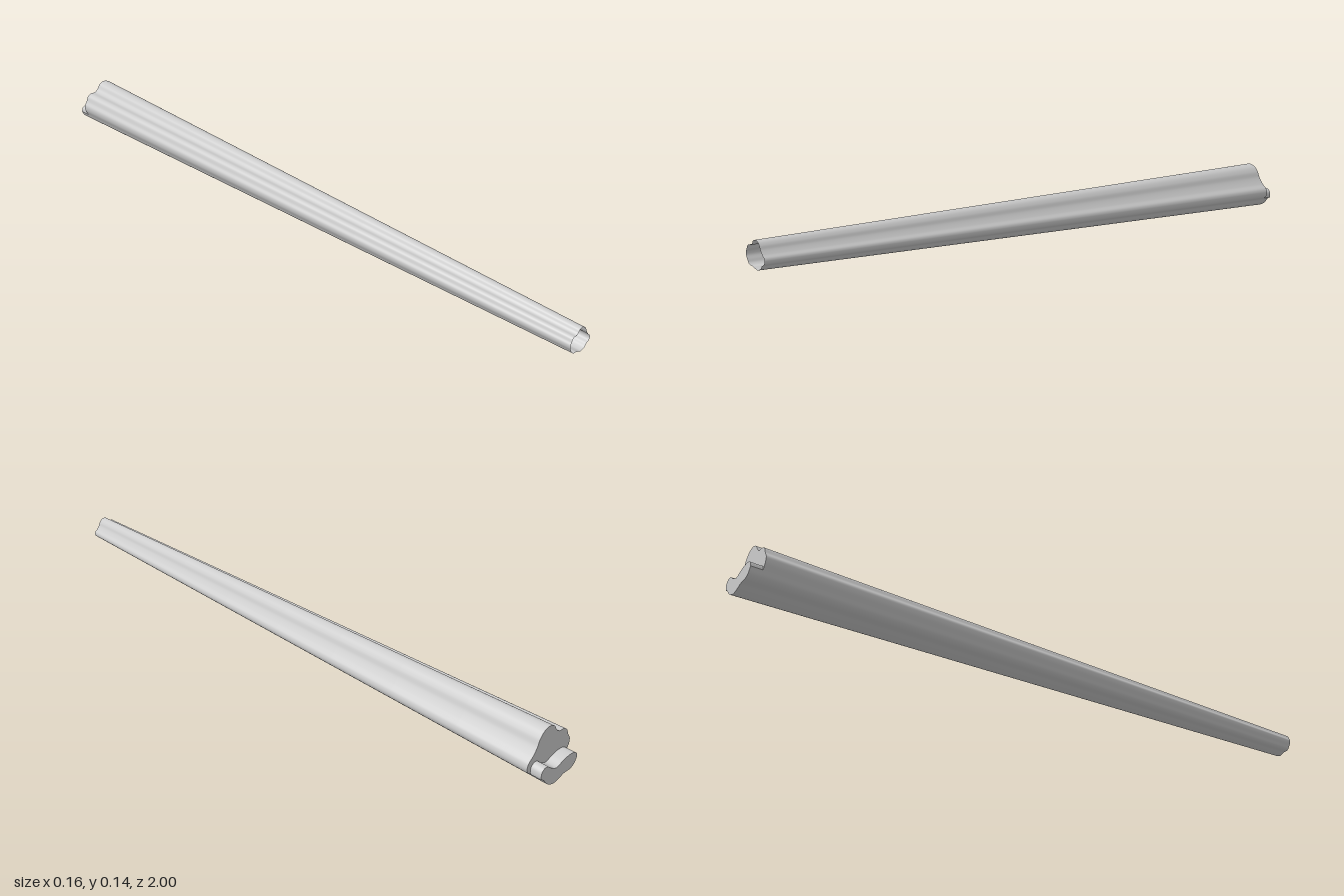
import * as THREE from 'three';

const material = new THREE.MeshStandardMaterial({ color: 0xcccccc, side: THREE.DoubleSide });
const CENTRE_Y = 0.072, FRONT = 1, SHOULDER = -0.965, BACK = -1;

const curve = (pairs, closed) => new THREE.CatmullRomCurve3(
  pairs.map(([x, y]) => new THREE.Vector3(x, y, 0)), closed, 'centripetal');

// Lobed cross-section at the wide end, clockwise from the top
const STEPS = 8;
const section = [
  [0.004, 0.145], [0.025, 0.137], [0.039, 0.121], [0.048, 0.1], [0.0625, 0.079], [0.078, 0.0625],
  [0.081, 0.048], [0.075, 0.035], [0.057, 0.025], [0.043, 0.009], [0.018, 0], [-0.004, 0.006],
  [-0.023, 0.014], [-0.046, 0.017], [-0.061, 0.027], [-0.07, 0.043], [-0.08, 0.0625], [-0.081, 0.079],
  [-0.073, 0.093], [-0.066, 0.109], [-0.055, 0.116], [-0.036, 0.116], [-0.025, 0.123], [-0.014, 0.139],
];
const COUNT = section.length * STEPS;
const outline = curve(section, true).getPoints(COUNT).slice(0, COUNT);

// Where the stepped tongue leaves the outline on either side
const RIGHT = 7.5 * STEPS, LEFT = 15 * STEPS;
const a = outline[RIGHT], b = outline[LEFT];
const stepLine = curve([
  [b.x, b.y], [-0.067, 0.055], [-0.055, 0.061], [-0.035, 0.06], [-0.015, 0.054], [0.01, 0.043],
  [0.03, 0.05], [0.045, 0.06], [0.057, 0.059], [0.066, 0.05], [0.068, 0.038], [a.x, a.y],
], false).getPoints(60);
const lower = outline.slice(RIGHT, LEFT + 1);
const upper = [...outline.slice(LEFT), ...outline.slice(0, RIGHT + 1)];

// Taper: full size at the back, about half at the front
const taper = (z) => THREE.MathUtils.lerp(1, 0.52, (z - BACK) / (FRONT - BACK));
const place = (p, z) => [p.x * taper(z), CENTRE_Y + (p.y - CENTRE_Y) * taper(z), z];

// Smooth surface swept between two depths along a line of points
function wall(name, points, zBack, zFront, closed, rows = 1) {
  const positions = [], index = [], n = points.length;
  for (let r = 0; r <= rows; r++) {
    const z = THREE.MathUtils.lerp(zBack, zFront, r / rows);
    for (const p of points) positions.push(...place(p, z));
  }
  for (let r = 0; r < rows; r++) {
    for (let i = 0; i < (closed ? n : n - 1); i++) {
      const p = r * n + i, q = r * n + (i + 1) % n;
      index.push(p, p + n, q, q, p + n, q + n);
    }
  }
  const geometry = new THREE.BufferGeometry();
  geometry.setAttribute('position', new THREE.Float32BufferAttribute(positions, 3));
  geometry.setIndex(index);
  geometry.computeVertexNormals();
  return named(name, geometry);
}

// Flat end plate filling a line of points
function plate(name, points, z) {
  const shape = new THREE.Shape(points.map((p) => {
    const [x, y] = place(p, z);
    return new THREE.Vector2(x, y);
  }));
  return named(name, new THREE.ShapeGeometry(shape).translate(0, 0, z));
}

function named(name, geometry) {
  const mesh = new THREE.Mesh(geometry, material);
  mesh.name = name;
  return mesh;
}

export function createModel() {
  const group = new THREE.Group();
  group.name = 'taperedTube';
  const inner = stepLine.slice(1, -1);
  group.add(
    // Hollow fluted body, open at the narrow front
    wall('body', outline, SHOULDER, FRONT, true, 8),
    // Upper end plate, set forward of the tongue
    plate('upperEndPlate', [...upper, ...inner.slice().reverse()], SHOULDER),
    // Tongue at the wide end
    wall('tongueWall', lower, BACK, SHOULDER, false),
    wall('tongueStep', stepLine, BACK, SHOULDER, false),
    plate('tongueEndPlate', [...lower, ...inner], BACK),
  );
  return group;
}
